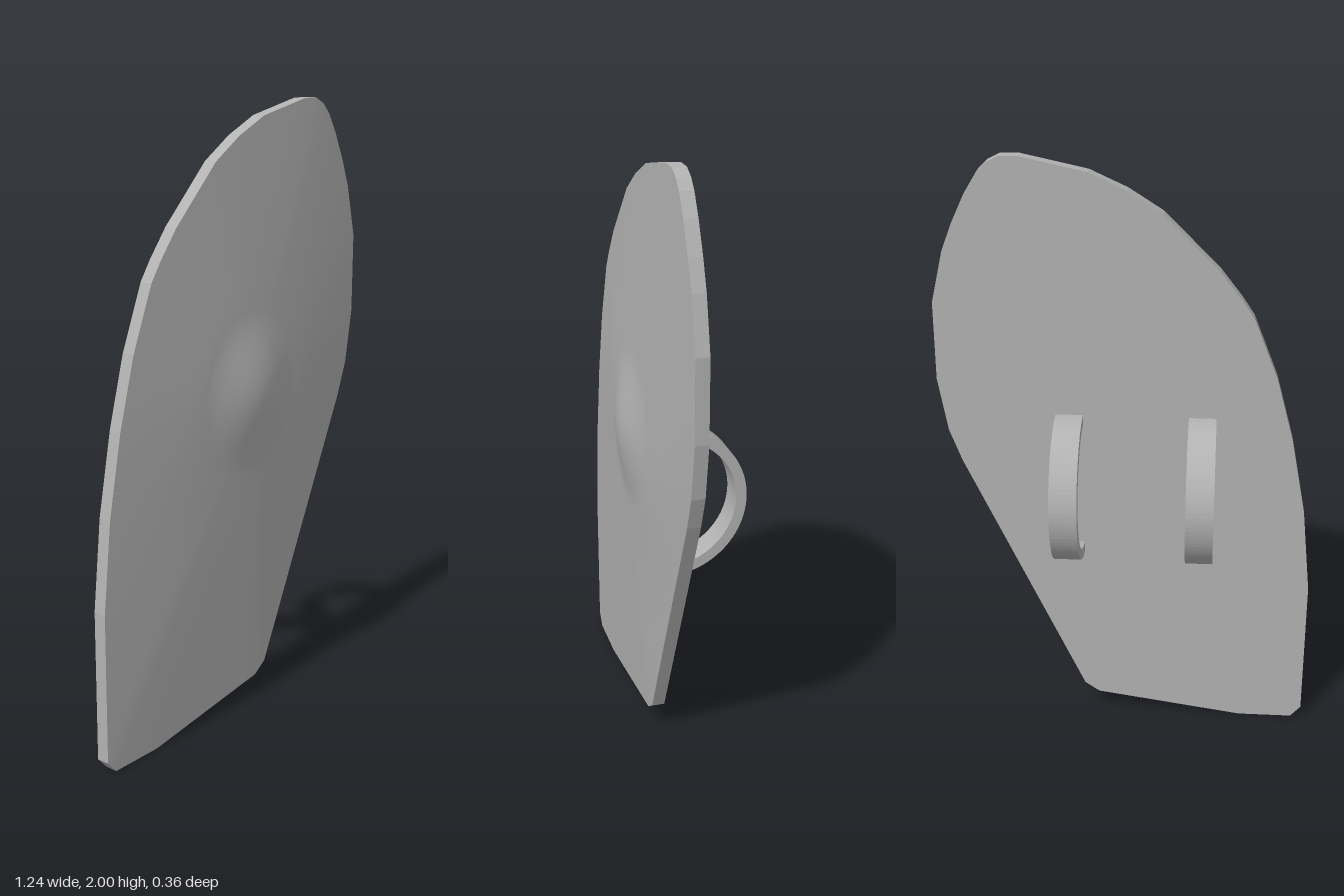
import * as THREE from 'three';

const steel = new THREE.MeshStandardMaterial({ color: 0xb2b2b2 });
steel.name = 'greySteel';

const BACK_Z = 0.065, RIM_Z = 0.108;
const CENTRE = new THREE.Vector2(0.03, 1.09);

// Outline of the plate, anticlockwise from the bottom left
const OUTLINE = [
  [-0.585, 0], [-0.40, 0], [0.10, 0.075], [0.15, 0.11], [0.55, 0.98], [0.59, 1.09],
  [0.62, 1.27], [0.62, 1.53], [0.58, 1.70], [0.545, 1.79], [0.50, 1.885], [0.46, 1.95],
  [0.43, 1.98], [0.39, 2], [0.33, 2], [0.12, 1.955], [0, 1.90], [-0.11, 1.83],
  [-0.29, 1.65], [-0.36, 1.56], [-0.40, 1.50], [-0.48, 1.30], [-0.54, 1.08],
  [-0.59, 0.82], [-0.62, 0.53], [-0.62, 0.04],
].map(([x, y]) => new THREE.Vector2(x, y));

// Split long edges so the domed face has an even fan
function subdivide(points, maxLength) {
  const out = [];
  points.forEach((p, i) => {
    const q = points[(i + 1) % points.length];
    const n = Math.ceil(p.distanceTo(q) / maxLength);
    for (let k = 0; k < n; k++) out.push(p.clone().lerp(q, k / n));
  });
  return out;
}

// Front face: rounded boss in the middle, sloping gently to the rim
function domeGeometry() {
  const edge = subdivide(OUTLINE, 0.1);
  const n = edge.length, bossRings = 10, slopeRings = 5;
  const pos = [CENTRE.x, CENTRE.y, 0.18], index = [];
  for (let r = 1; r <= bossRings + slopeRings; r++) {
    for (const e of edge) {
      const dir = e.clone().sub(CENTRE).normalize();
      const bossEdge = new THREE.Vector2(CENTRE.x + dir.x * 0.25, CENTRE.y + dir.y * 0.3);
      let p, z;
      if (r <= bossRings) {
        const t = r / bossRings;
        p = CENTRE.clone().lerp(bossEdge, t);
        z = 0.142 + 0.019 * (1 + Math.cos(Math.PI * t));
      } else {
        const t = (r - bossRings) / slopeRings;
        p = bossEdge.lerp(e, t);
        z = THREE.MathUtils.lerp(0.142, RIM_Z, t);
      }
      pos.push(p.x, p.y, z);
    }
  }
  for (let i = 0; i < n; i++) {
    const j = (i + 1) % n;
    index.push(0, 1 + i, 1 + j);
    for (let r = 0; r < bossRings + slopeRings - 1; r++) {
      const a = 1 + r * n + i, b = 1 + r * n + j;
      index.push(a, a + n, b + n, a, b + n, b);
    }
  }
  const geo = new THREE.BufferGeometry();
  geo.setAttribute('position', new THREE.Float32BufferAttribute(pos, 3));
  geo.setIndex(index);
  geo.computeVertexNormals();
  return geo;
}

// Half-ring grip strap that bows out behind the plate
function strapGeometry(width) {
  const shape = new THREE.Shape();
  shape.absarc(0, 0, 0.253, -Math.PI / 2, Math.PI / 2, false);
  shape.absarc(0, 0, 0.218, Math.PI / 2, -Math.PI / 2, true);
  const geo = new THREE.ExtrudeGeometry(shape, { depth: width, bevelEnabled: false, curveSegments: 24 });
  return geo.translate(0, 0, -width / 2).rotateY(Math.PI / 2);
}

export function createModel() {
  const model = new THREE.Group();
  model.name = 'shield';
  const add = (name, geo) => {
    const mesh = new THREE.Mesh(geo, steel);
    mesh.name = name;
    model.add(mesh);
    return mesh;
  };

  // Flat back plate with its rim
  const plate = new THREE.ExtrudeGeometry(new THREE.Shape(OUTLINE), {
    depth: RIM_Z - BACK_Z, bevelEnabled: false,
  });
  add('backPlate', plate).position.z = BACK_Z;
  add('domedFace', domeGeometry());

  // Pair of straps on the back
  const strap = strapGeometry(0.09);
  add('rightStrap', strap).position.set(-0.245, 0.903, BACK_Z + 0.004);
  add('leftStrap', strap).position.set(0.19, 0.903, BACK_Z + 0.004);
  return model;
}
